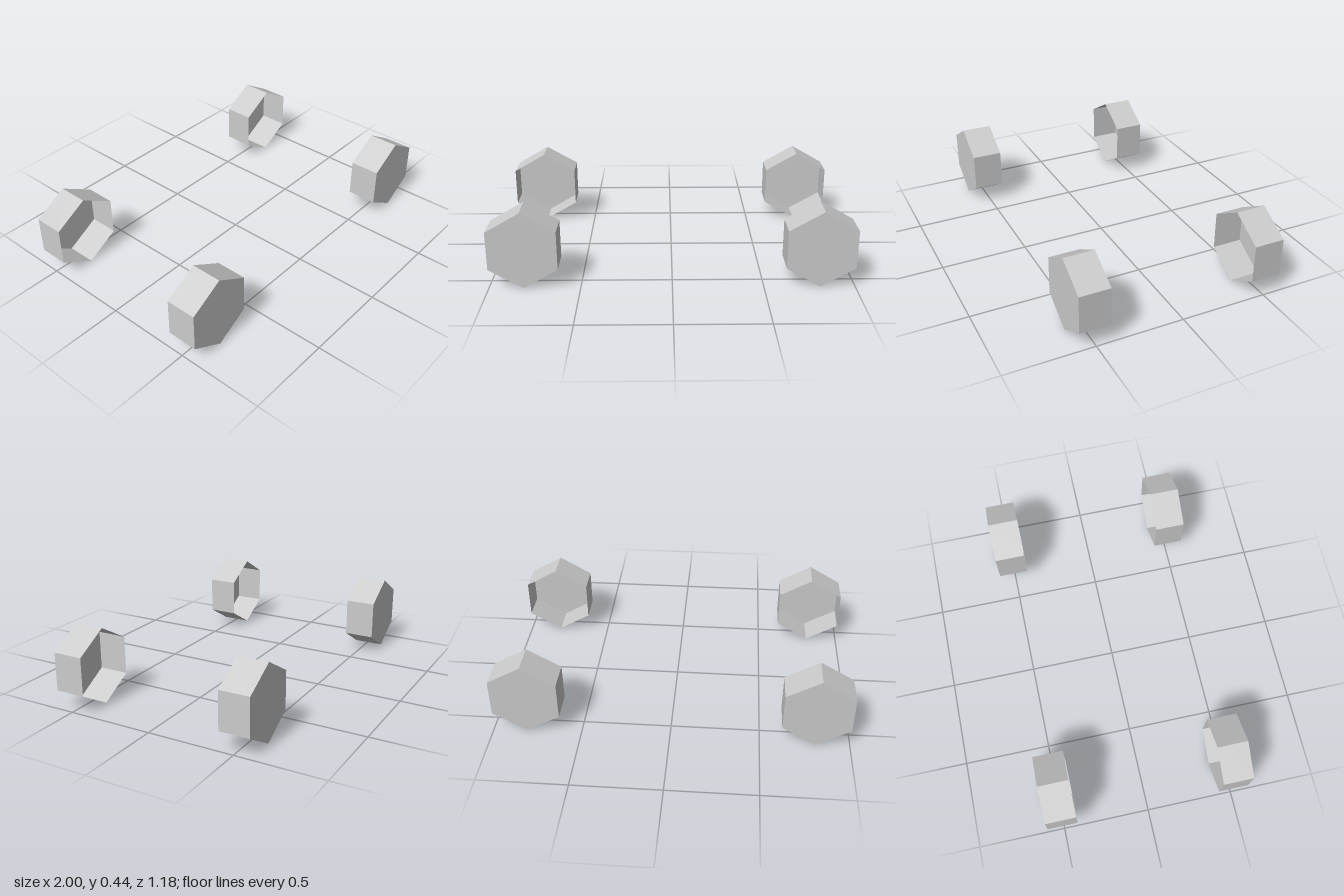
import * as THREE from 'three';

const R = 0.219;      // hexagon corner radius
const WIDTH = 0.175;  // depth of each wheel along z
const X = 0.81;       // wheel centre offsets
const Z = 0.505;

const material = new THREE.MeshStandardMaterial({
  color: 0xcccccc, flatShading: true, side: THREE.DoubleSide,
});

// Thin hexagonal cup: closed on its +z face, open on its -z face
function makeWheel(name) {
  const wheel = new THREE.Group();
  wheel.name = name;

  const tread = new THREE.Mesh(
    new THREE.CylinderGeometry(R, R, WIDTH, 6, 1, true).rotateX(Math.PI / 2), material);
  tread.name = 'tread';

  const disc = new THREE.Mesh(new THREE.CircleGeometry(R, 6, Math.PI / 2), material);
  disc.name = 'outerDisc';
  disc.position.z = WIDTH / 2;

  wheel.add(tread, disc);
  return wheel;
}

export function createModel() {
  const model = new THREE.Group();
  model.name = 'wheelSet';
  // Four wheels, closed faces outward and open faces toward the middle
  for (const [end, sz] of [['front', 1], ['back', -1]]) {
    for (const [side, sx] of [['Left', 1], ['Right', -1]]) {
      const wheel = makeWheel(end + side + 'Wheel');
      wheel.position.set(sx * X, R, sz * Z);
      if (sz < 0) wheel.rotation.y = Math.PI;
      model.add(wheel);
    }
  }
  return model;
}
